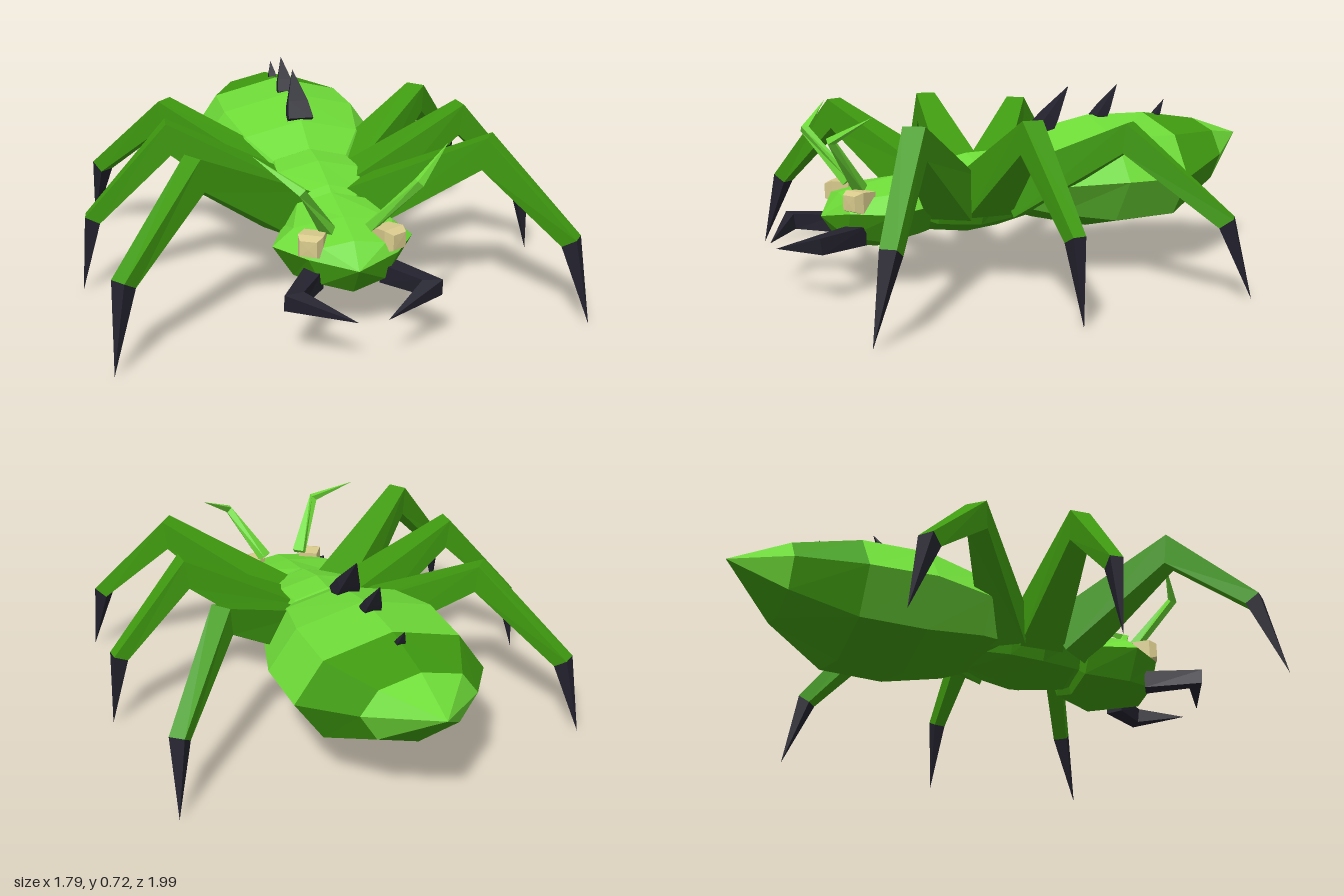
import * as THREE from 'three';

const mat = (name, color) => {
  const m = new THREE.MeshStandardMaterial({ color, flatShading: true });
  m.name = name;
  return m;
};

// Skins a list of cross-section rings; pick(i, j) chooses the material of each facet
function loft(name, rings, materials, pick = () => 0) {
  const buckets = materials.map(() => []);
  const n = rings[0].length;
  for (let i = 0; i < rings.length - 1; i++) {
    for (let j = 0; j < n; j++) {
      const k = (j + 1) % n;
      const a = rings[i][j], b = rings[i][k], c = rings[i + 1][k], d = rings[i + 1][j];
      for (const tri of [[a, d, c], [a, c, b]]) {
        const [p, q, r] = tri;
        if (p.distanceTo(q) < 1e-5 || q.distanceTo(r) < 1e-5 || p.distanceTo(r) < 1e-5) continue;
        tri.forEach(v => buckets[pick(i, j)].push(v.x, v.y, v.z));
      }
    }
  }
  const geo = new THREE.BufferGeometry();
  geo.setAttribute('position', new THREE.Float32BufferAttribute(buckets.flat(), 3));
  let start = 0;
  buckets.forEach((b, i) => {
    geo.addGroup(start, b.length / 3, i);
    start += b.length / 3;
  });
  geo.computeVertexNormals();
  const mesh = new THREE.Mesh(geo, materials);
  mesh.name = name;
  return mesh;
}

// Eight-sided body ring: [z, half width, top, middle, bottom]
const bodyRing = ([z, rx, top, mid, bot]) => Array.from({ length: 8 }, (_, j) => {
  const s = Math.sin(j * Math.PI / 4);
  return new THREE.Vector3(rx * Math.cos(j * Math.PI / 4), mid + s * (s > 0 ? top - mid : mid - bot), z);
});

// Four-sided limb along a path of [x, y, z, half width, half height]
function limb(name, path, side, materials, split = 99) {
  const pts = path.map(([x, y, z]) => new THREE.Vector3(x * side, y, z));
  const rings = pts.map((p, i) => {
    const t = new THREE.Vector3();
    if (i > 0) t.add(p.clone().sub(pts[i - 1]).normalize());
    if (i < pts.length - 1) t.add(pts[i + 1].clone().sub(p).normalize());
    t.normalize();
    const s = t.clone().cross(new THREE.Vector3(0, 1, 0)).normalize();
    const n = s.clone().cross(t);
    const [w, h] = path[i].slice(3);
    return [[1, 1], [-1, 1], [-1, -1], [1, -1]].map(([u, v]) =>
      p.clone().addScaledVector(s, u * w).addScaledVector(n, v * h));
  });
  rings.unshift(rings[0].map(() => pts[0]));
  return loft(name, rings, materials, i => (i > split ? 1 : 0));
}

export function createModel() {
  const light = mat('lightGreen', 0x6edb38);
  const dark = mat('darkGreen', 0x3f9a10);
  const black = mat('blackHorn', 0x23222e);
  const cream = mat('creamEye', 0xd8ca8c);
  const model = new THREE.Group();
  model.name = 'insect';

  // Body segments
  model.add(loft('abdomen', [
    [0.12, 0, 0.36, 0.36, 0.36],
    [0.1, 0.2, 0.47, 0.36, 0.25],
    [-0.05, 0.32, 0.55, 0.37, 0.2],
    [-0.29, 0.38, 0.6, 0.38, 0.145],
    [-0.55, 0.37, 0.6, 0.38, 0.155],
    [-0.79, 0.22, 0.565, 0.44, 0.29],
    [-1, 0, 0.495, 0.495, 0.495],
  ].map(bodyRing), [light, dark], (i, j) => (i === 4 || j === 5 || j === 6 ? 1 : 0)));

  const underside = (i, j) => (j >= 4 ? 1 : 0);
  model.add(loft('thorax', [
    [0.48, 0, 0.33, 0.33, 0.33],
    [0.46, 0.09, 0.4, 0.33, 0.22],
    [0.39, 0.17, 0.435, 0.33, 0.185],
    [0.23, 0.225, 0.475, 0.35, 0.165],
    [0.1, 0.2, 0.48, 0.36, 0.18],
    [-0.03, 0.12, 0.44, 0.35, 0.21],
    [-0.05, 0, 0.35, 0.35, 0.35],
  ].map(bodyRing), [light, dark], underside));

  model.add(loft('head', [
    [0.81, 0, 0.27, 0.27, 0.27],
    [0.74, 0.16, 0.355, 0.3, 0.165],
    [0.6, 0.255, 0.39, 0.3, 0.138],
    [0.43, 0.18, 0.42, 0.31, 0.17],
    [0.39, 0, 0.31, 0.31, 0.31],
  ].map(bodyRing), [light, dark], underside));

  // Legs: hip, knee, ankle, foot
  const legs = {
    frontLeg: [[0.14, 0.33, 0.34, 0.085, 0.09], [0.52, 0.595, 0.61, 0.04, 0.06], [0.785, 0.295, 0.78, 0.03, 0.03], [0.835, 0.005, 0.86, 0, 0]],
    middleLeg: [[0.14, 0.33, 0.21, 0.09, 0.09], [0.56, 0.6, 0.2, 0.04, 0.06], [0.845, 0.295, 0.17, 0.025, 0.03], [0.895, 0.005, 0.16, 0, 0]],
    rearLeg: [[0.14, 0.33, 0.08, 0.085, 0.09], [0.52, 0.575, -0.2, 0.04, 0.055], [0.765, 0.285, -0.47, 0.03, 0.03], [0.805, 0.005, -0.555, 0, 0]],
  };

  for (const side of [1, -1]) {
    const label = side > 0 ? 'left' : 'right';
    for (const [name, path] of Object.entries(legs)) {
      model.add(limb(`${label} ${name}`, path, side, [dark, black], 2));
    }

    // Hooked jaw
    model.add(limb(`${label} mandible`, [
      [0.13, 0.215, 0.7, 0.035, 0.035],
      [0.24, 0.215, 0.87, 0.035, 0.03],
      [0.05, 0.172, 0.99, 0, 0],
    ], side, [black]));

    // Bent feeler
    model.add(limb(`${label} antenna`, [
      [0.08, 0.38, 0.68, 0.025, 0.016],
      [0.2, 0.575, 0.815, 0.014, 0.014],
      [0.34, 0.67, 0.7, 0, 0],
    ], side, [light]));

    // Chamfered eye
    const eye = limb(`${label} eye`, [
      [0, 0, -0.05, 0.04, 0.035],
      [0, 0, 0.015, 0.045, 0.04],
      [0, 0, 0.045, 0.03, 0.028],
      [0, 0, 0.046, 0, 0],
    ], 1, [cream]);
    eye.position.set(0.14 * side, 0.34, 0.705);
    eye.rotation.y = 0.5 * side;
    model.add(eye);
  }

  // Back spikes: base z, base y, half width, tip z, tip y
  [[-0.08, 0.54, 0.05, -0.21, 0.72], [-0.34, 0.585, 0.035, -0.43, 0.72], [-0.605, 0.575, 0.018, -0.65, 0.65]]
    .forEach(([z, y, w, tz, ty], i) => {
      model.add(limb(`backSpike${i + 1}`, [
        [0, y, z, w, w * 0.7],
        [0, y + (ty - y) * 0.35, z + (tz - z) * 0.35, w * 0.8, w * 0.5],
        [0, ty, tz, 0, 0],
      ], 1, [black]));
    });

  return model;
}
